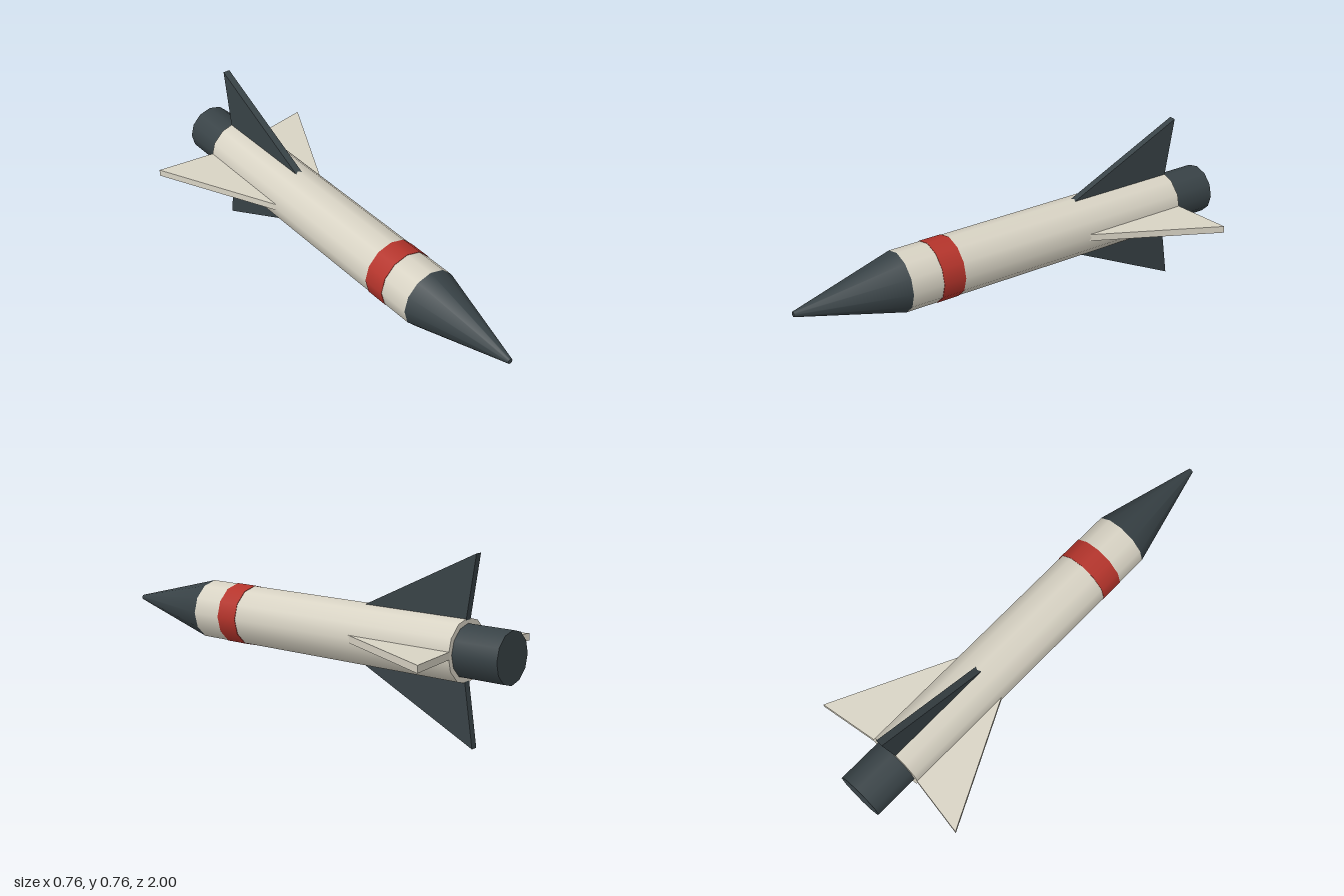
import * as THREE from 'three';

const AXIS_Y = 0.38;
const SIDES = 12;

export function createModel() {
  const model = new THREE.Group();
  model.name = 'rocket';

  const cream = new THREE.MeshStandardMaterial({ color: 0xd8d3c4 });
  const dark = new THREE.MeshStandardMaterial({ color: 0x384246 });
  const red = new THREE.MeshStandardMaterial({ color: 0xb5342b });

  // Twelve-sided section along z, with its own front and back radius
  function section(name, material, backZ, frontZ, backR, frontR = backR) {
    const geometry = new THREE.CylinderGeometry(frontR, backR, frontZ - backZ, SIDES);
    geometry.rotateX(Math.PI / 2);
    const mesh = new THREE.Mesh(geometry, material);
    mesh.name = name;
    mesh.position.set(0, AXIS_Y, (backZ + frontZ) / 2);
    model.add(mesh);
  }

  section('body', cream, -0.8, 0.54, 0.129);
  section('band', red, 0.3, 0.4, 0.131);
  section('noseCone', dark, 0.54, 1, 0.129, 0.011);
  section('nozzle', dark, -1, -0.8, 0.107);

  // Swept triangular fin: x is the distance from the axis, shape y becomes -z
  const thickness = 0.03;
  const outline = new THREE.Shape([
    new THREE.Vector2(0.12, 0.305),
    new THREE.Vector2(0.12, 0.8),
    new THREE.Vector2(0.38, 0.84),
  ]);
  const finGeometry = new THREE.ExtrudeGeometry(outline, { depth: thickness, bevelEnabled: false });
  finGeometry.translate(0, 0, -thickness / 2);
  finGeometry.rotateX(-Math.PI / 2);

  // Four fins around the tail, alternating light and dark
  ['leftFin', 'topFin', 'rightFin', 'bottomFin'].forEach((name, i) => {
    const fin = new THREE.Mesh(finGeometry, i % 2 ? dark : cream);
    fin.name = name;
    fin.position.y = AXIS_Y;
    fin.rotation.z = (i * Math.PI) / 2;
    model.add(fin);
  });

  return model;
}
